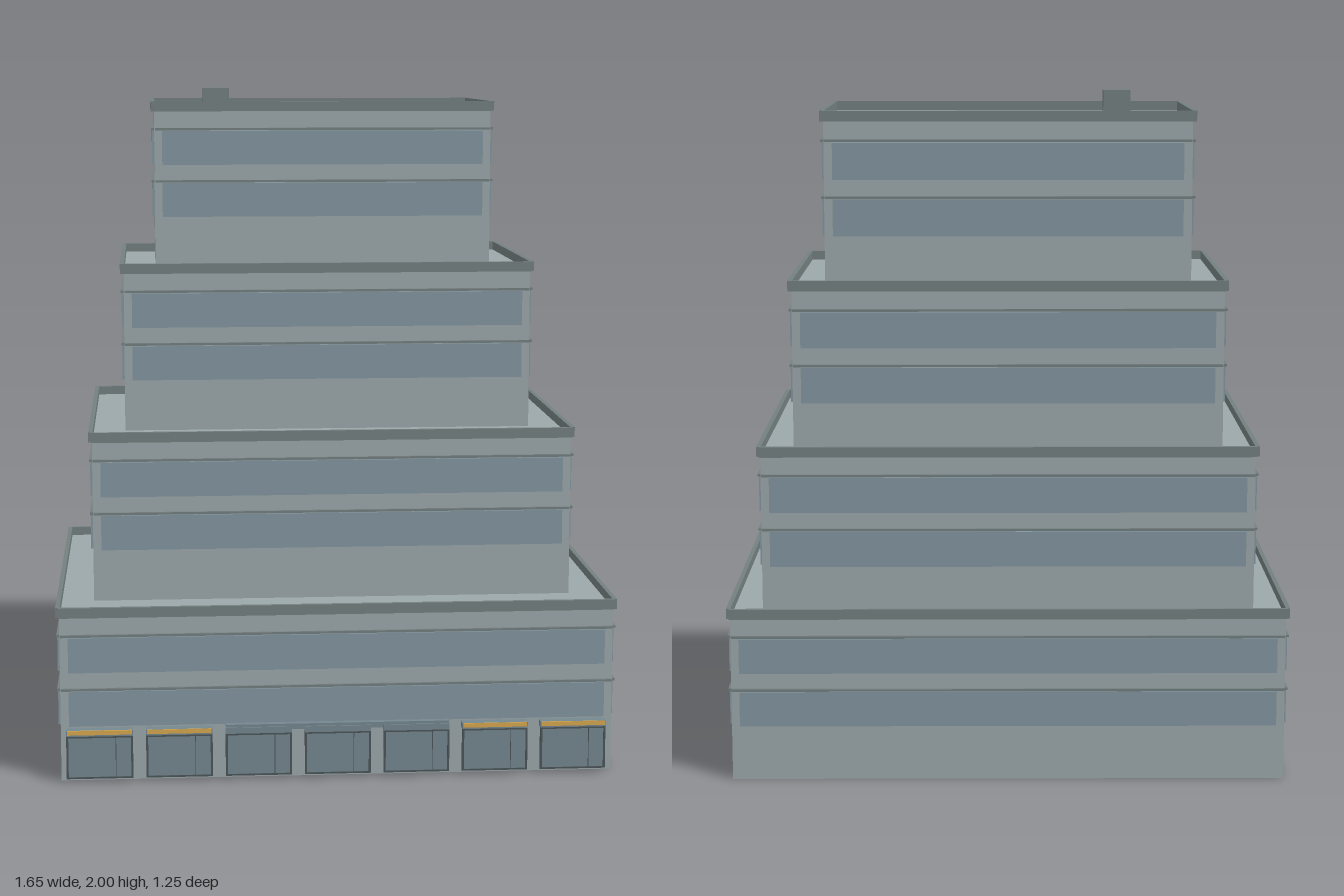
import * as THREE from 'three';

const mat = (color) => new THREE.MeshStandardMaterial({ color });

export function createModel() {
  const wall = mat(0x9ca8aa), trim = mat(0x748080), glass = mat(0x8497a1);
  const shopGlass = mat(0x758890), frame = mat(0x4c565a), sign = mat(0xd9a94e);
  const root = new THREE.Group();
  root.name = 'steppedBuilding';

  // Box given by its two extremes on each axis
  function box(parent, name, material, x0, x1, y0, y1, z0, z1) {
    const m = new THREE.Mesh(new THREE.BoxGeometry(x1 - x0, y1 - y0, z1 - z0), material);
    m.position.set((x0 + x1) / 2, (y0 + y1) / 2, (z0 + z1) / 2);
    m.name = name;
    parent.add(m);
    return m;
  }

  // Four thin strips on the four walls of a tier: out = projection, inset = gap at corners
  function wallStrips(parent, name, material, w, zb, zf, y0, y1, out, depth, inset) {
    box(parent, name + 'Front', material, -w + inset, w - inset, y0, y1, zf + out - depth, zf + out);
    box(parent, name + 'Back', material, -w + inset, w - inset, y0, y1, zb - out, zb - out + depth);
    for (const s of [-1, 1]) {
      const a = s * (w + out), b = s * (w + out - depth);
      box(parent, name + (s > 0 ? 'Left' : 'Right'), material,
        Math.min(a, b), Math.max(a, b), y0, y1, zb + inset, zf - inset);
    }
  }

  // Four setback tiers sharing one back wall
  const back = -0.613;
  const tiers = [
    { w: 0.812, front: 0.59 },
    { w: 0.715, front: 0.387 },
    { w: 0.618, front: 0.182 },
    { w: 0.521, front: -0.024 },
  ];
  const step = 0.481;
  tiers.forEach(({ w, front }, i) => {
    const g = new THREE.Group();
    g.name = 'tier' + (i + 1);
    root.add(g);
    const y = i * step;
    box(g, 'walls', wall, -w, w, i ? y + 0.006 : 0, y + 0.49, back, front);
    wallStrips(g, 'parapet', trim, w, back, front, y + 0.487, y + 0.517, 0.011, 0.013, -0.002);
    // Two window bands, each topped by a thin ledge
    for (const f of [0.163, 0.323]) {
      wallStrips(g, 'windowBand', glass, w, back, front, y + f, y + f + 0.104, 0.007, 0.012, 0.024);
      wallStrips(g, 'ledge', trim, w, back, front, y + f + 0.106, y + f + 0.113, 0.009, 0.013, 0.002);
    }
  });

  box(root, 'roofVent', trim, -0.368, -0.287, 1.93, 2.0, -0.18, -0.116);

  // Row of shopfronts along the street
  const shops = new THREE.Group();
  shops.name = 'shopfronts';
  root.add(shops);
  for (let i = -3; i <= 3; i++) {
    const shop = new THREE.Group();
    shop.name = 'shop' + (i + 4);
    shop.position.x = i * 0.232 - 0.003;
    shops.add(shop);
    box(shop, 'shopWindow', shopGlass, -0.092, 0.092, 0.014, 0.138, 0.61, 0.617);
    for (const s of [-1, 1]) {
      box(shop, 'windowPost', frame, s * 0.094 - 0.003, s * 0.094 + 0.003, 0.012, 0.14, 0.609, 0.619);
    }
    box(shop, 'windowSill', frame, -0.094, 0.094, 0.012, 0.017, 0.609, 0.619);
    box(shop, 'windowHead', frame, -0.094, 0.094, 0.134, 0.14, 0.609, 0.619);
    box(shop, 'mullion', frame, 0.046, 0.048, 0.017, 0.134, 0.616, 0.618);
    box(shop, 'canopy', shopGlass, -0.097, 0.097, 0.139, 0.157, 0.585, 0.62);
    // Coloured fascia on the outer shops
    if (Math.abs(i) > 1) box(shop, 'fascia', sign, -0.094, 0.094, 0.144, 0.157, 0.618, 0.623);
  }
  // Long canopy over the three middle shops
  box(shops, 'entranceCanopy', shopGlass, -0.331, 0.325, 0.148, 0.165, 0.585, 0.616);

  return root;
}
